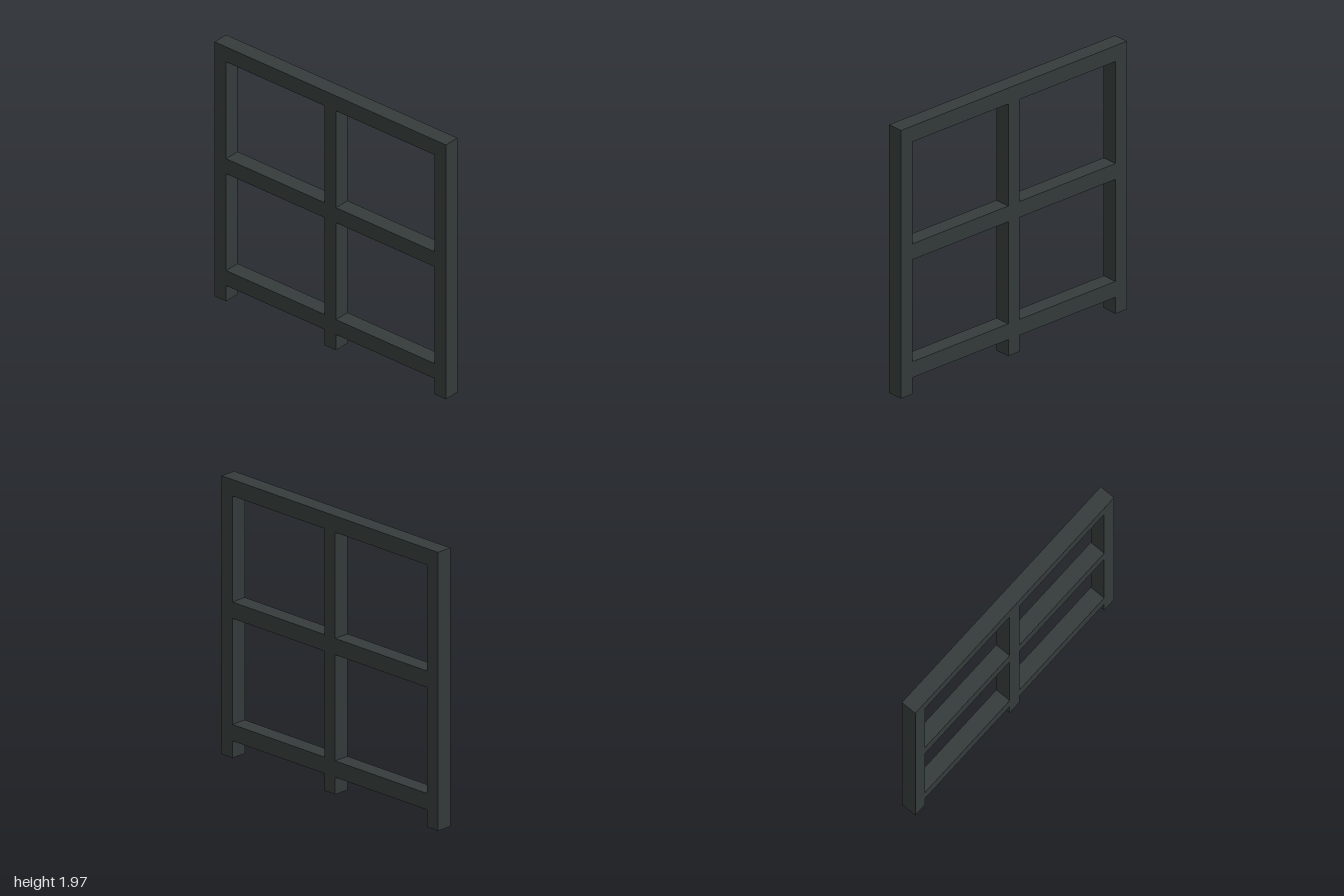
import * as THREE from 'three';

const HEIGHT = 1.965, DEPTH = 0.117, POST = 0.1, RAIL = 0.116;

export function createModel() {
  const model = new THREE.Group();
  model.name = 'gridFrame';
  const paint = new THREE.MeshStandardMaterial({ color: 0x343b3a });
  paint.name = 'charcoalPaint';

  // Square-edged bar, placed by its centre x and bottom y
  function addBar(name, width, height, x, bottom) {
    const bar = new THREE.Mesh(new THREE.BoxGeometry(width, height, DEPTH), paint);
    bar.name = name;
    bar.position.set(x, bottom + height / 2, 0);
    model.add(bar);
  }

  // Top rail caps the three posts
  addBar('topRail', 2, RAIL, 0, HEIGHT - RAIL);

  // Posts run down to the ground as short feet
  const posts = { rightPost: -0.95, middlePost: 0, leftPost: 0.95 };
  for (const [name, x] of Object.entries(posts)) addBar(name, POST, HEIGHT - RAIL, x, 0);

  // Rails fitted between the posts
  const span = 0.95 - POST;
  for (const [name, bottom] of [['middleRail', 0.985], ['bottomRail', 0.121]]) {
    addBar(name + 'Right', span, RAIL, -0.475, bottom);
    addBar(name + 'Left', span, RAIL, 0.475, bottom);
  }

  return model;
}
